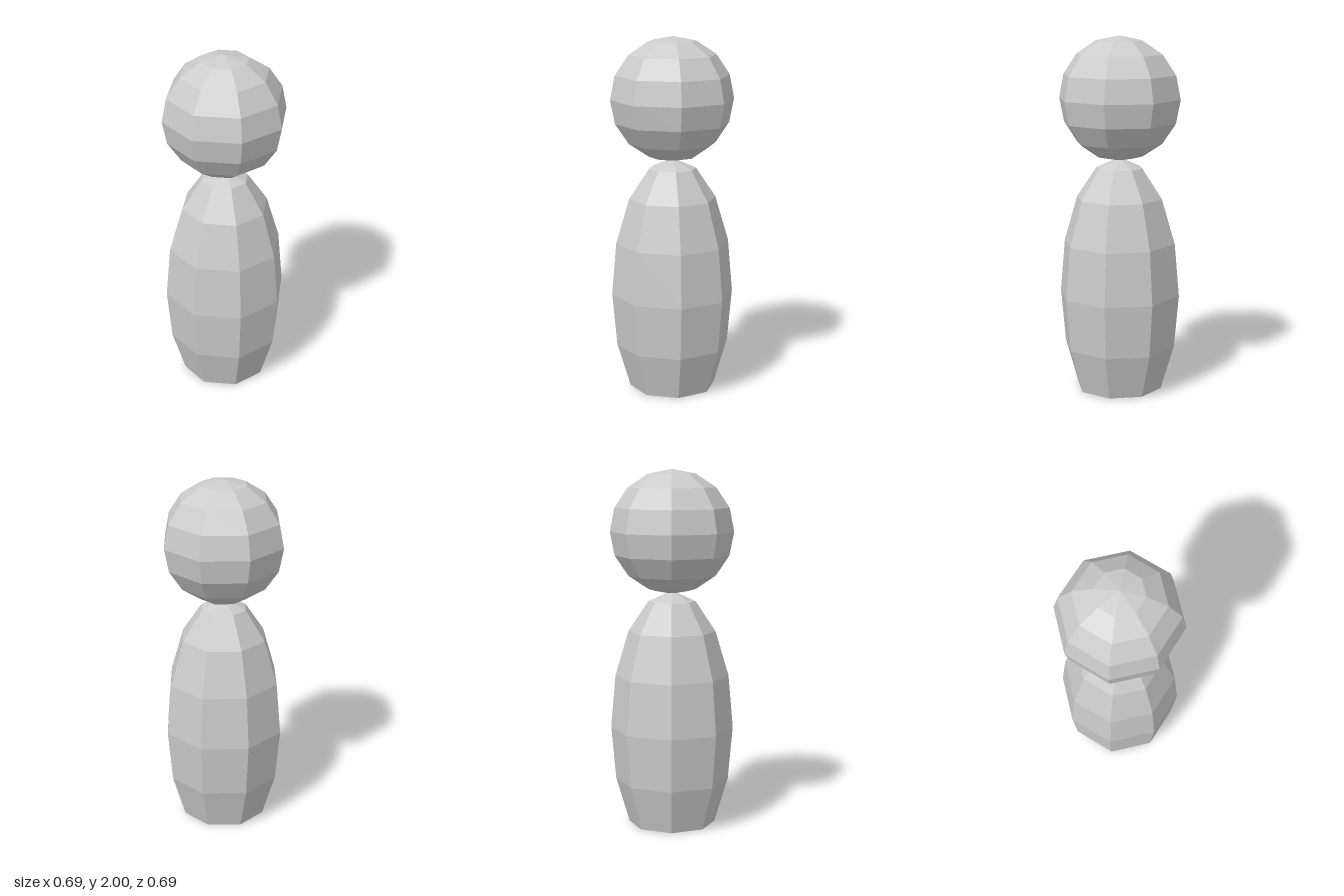
import * as THREE from 'three';

const RADIUS = 0.345;

export function createModel() {
  const group = new THREE.Group();
  const material = new THREE.MeshStandardMaterial({
    color: 0xcccccc, flatShading: true, side: THREE.DoubleSide,
  });

  // Low-poly ball for the head
  const head = new THREE.Mesh(new THREE.SphereGeometry(RADIUS, 8, 8), material);
  head.name = 'head';
  head.position.y = 2 - RADIUS;

  // Tall ellipsoid body, cut off 45 degrees below its middle and open underneath
  const halfHeight = 0.778;
  const bodyGeometry = new THREE.SphereGeometry(RADIUS, 8, 6, 0, Math.PI * 2, 0, Math.PI * 0.75);
  bodyGeometry.scale(1, halfHeight / RADIUS, 1);
  const body = new THREE.Mesh(bodyGeometry, material);
  body.name = 'body';
  body.position.y = halfHeight * Math.SQRT1_2;

  group.add(head, body);
  return group;
}
